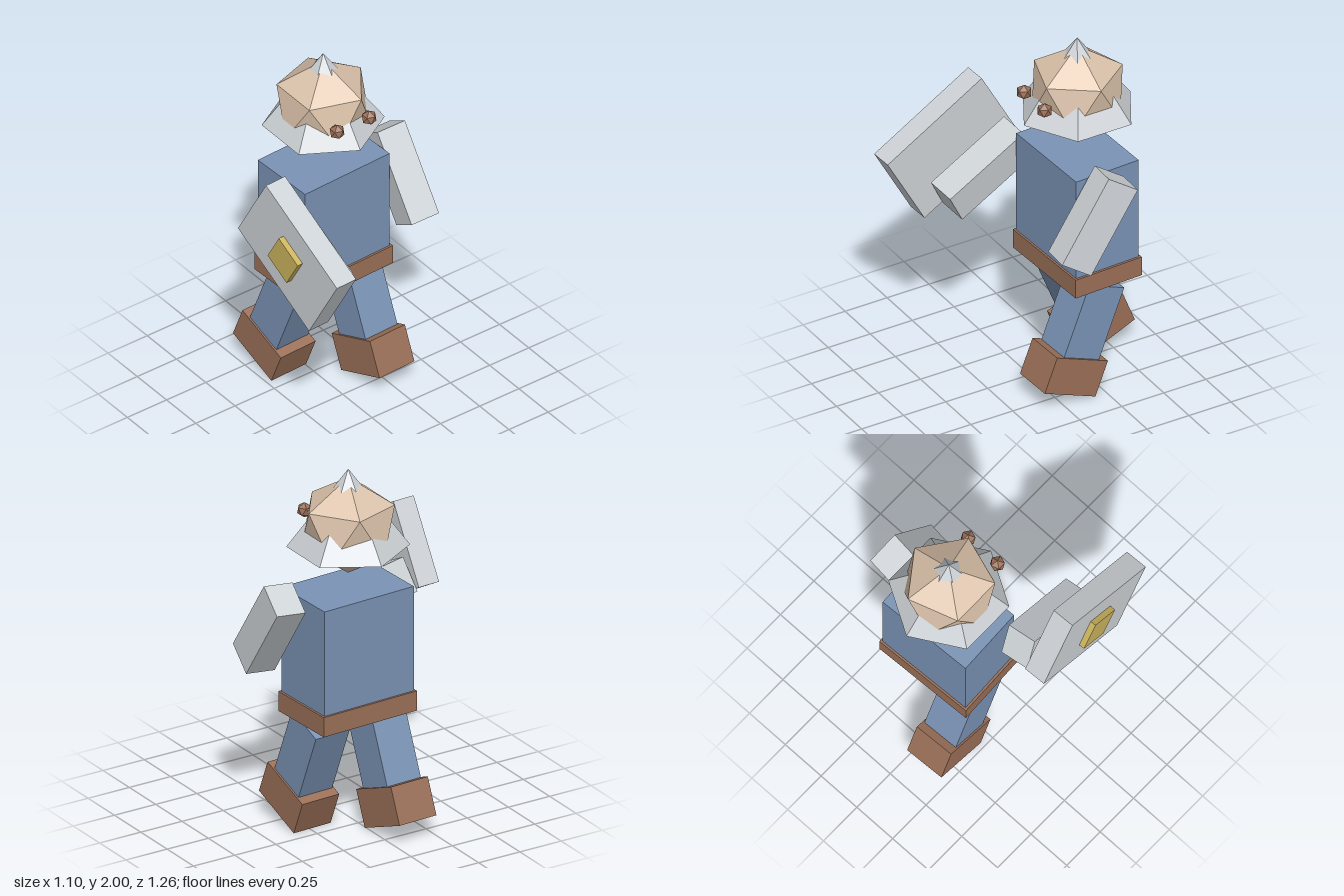
import * as THREE from 'three';

const mat = (name, color) => {
  const m = new THREE.MeshStandardMaterial({ color });
  m.name = name;
  m.flatShading = true;
  return m;
};

export function createModel() {
  const blue = mat('blue cloth', 0x7a93b5);
  const brown = mat('brown leather', 0x9b7058);
  const skin = mat('skin', 0xdcc3ab);
  const steel = mat('steel', 0xcdd2d6);
  const brass = mat('brass', 0xcbb35c);

  const model = new THREE.Group();
  model.name = 'knight';

  const add = (parent, name, geometry, material, pos, rot = [0, 0, 0]) => {
    const mesh = new THREE.Mesh(geometry, material);
    mesh.name = name;
    mesh.position.set(...pos);
    mesh.rotation.set(...rot);
    parent.add(mesh);
    return mesh;
  };
  const box = (w, h, d) => new THREE.BoxGeometry(w, h, d);
  // icosahedron standing on one corner
  const ball = (r) =>
    new THREE.IcosahedronGeometry(r, 0).rotateZ(-Math.atan(2 / (1 + Math.sqrt(5))));

  // body, slightly turned
  const body = new THREE.Group();
  body.name = 'body';
  body.position.set(0.063, 0, -0.247);
  body.rotation.y = 0.043;
  model.add(body);
  add(body, 'torso', box(0.557, 0.64, 0.382), blue, [0, 1.02, 0]);
  add(body, 'belt', box(0.582, 0.11, 0.405), brown, [0, 0.7, 0]);

  // striding legs swing from the hip
  for (const [side, s] of [['left', 1], ['right', -1]]) {
    const leg = new THREE.Group();
    leg.name = side + 'Leg';
    leg.position.set(s * 0.168, 0.636, 0);
    leg.rotation.x = -s * 0.385;
    body.add(leg);
    add(leg, side + 'Thigh', box(0.21, 0.45, 0.23), blue, [0, -0.225, 0]);
    add(leg, side + 'Boot', box(0.23, 0.204, 0.334), brown, [0, -0.514, 0]);
  }

  // head with a pointed helmet that the brow pokes through
  const head = new THREE.Group();
  head.name = 'headGroup';
  head.position.set(0.06, 1.685, -0.247);
  model.add(head);
  add(head, 'head', ball(0.267), skin, [0, 0, 0]);
  add(head, 'helmet', new THREE.ConeGeometry(0.317, 0.43, 6), steel, [0, 0.1, 0]);
  for (const s of [-1, 1]) {
    add(head, s > 0 ? 'leftEye' : 'rightEye', ball(0.042), brown, [s * 0.102, 0.013, 0.255]);
  }

  // arms
  const arm = box(0.165, 0.51, 0.192);
  add(model, 'leftArm', arm, steel, [0.45, 1.148, -0.108], [-0.584, -0.114, 0.014]);
  add(model, 'rightArm', arm, steel, [-0.305, 1.12, 0.094], [-1.08, 0.155, 0.04]);

  // shield with a raised boss on its outer face
  const shield = add(model, 'shield', box(0.126, 0.66, 0.46), steel,
    [-0.457, 1.233, 0.222], [-1.058, 0.022, 0.036]);
  add(shield, 'shieldBoss', box(0.05, 0.176, 0.184), brass, [-0.07, 0, 0]);

  return model;
}
